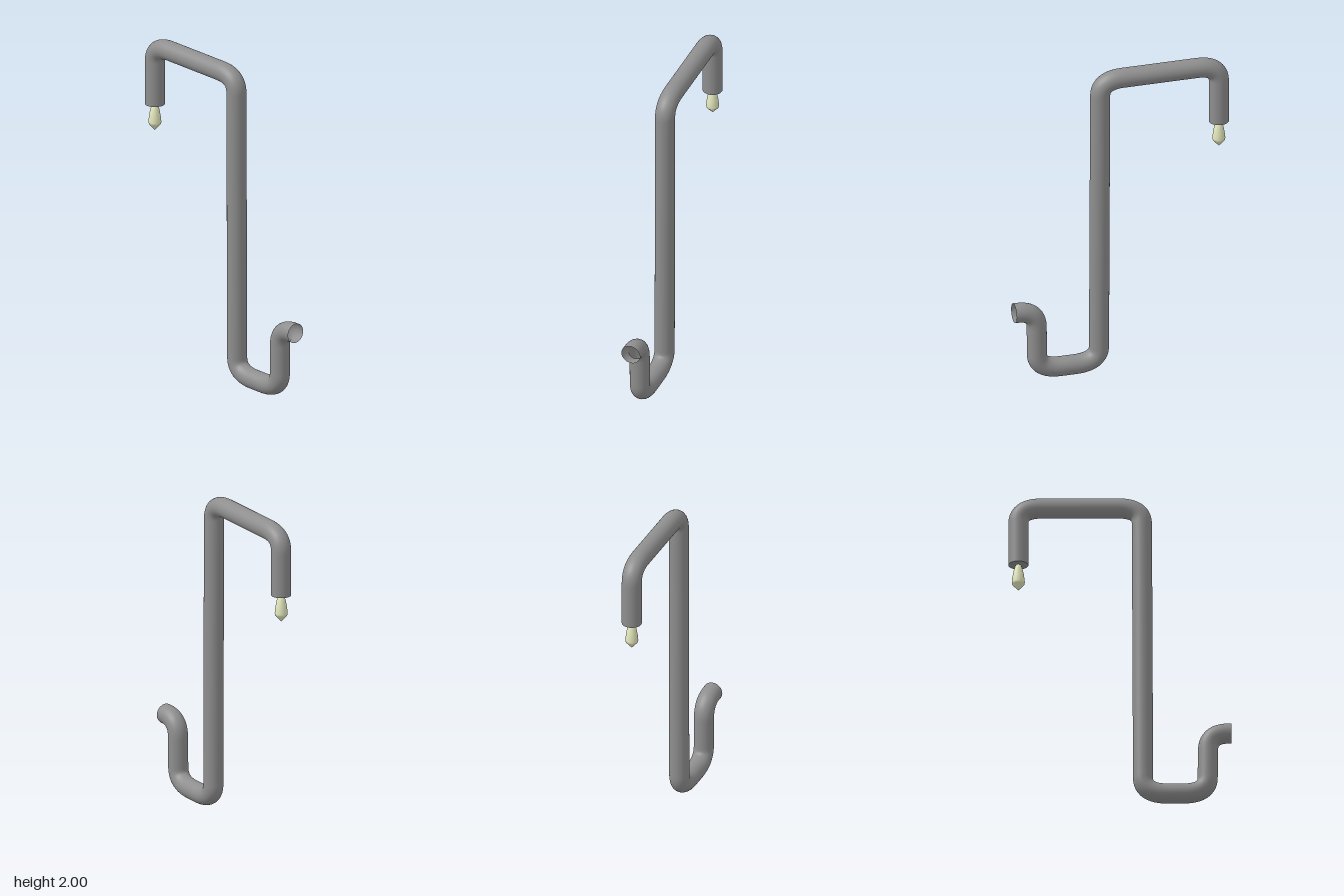
import * as THREE from 'three';

// Straight runs joined by rounded corners; each corner is [x, y, trim before, trim after]
function bentPath(start, corners, end) {
  const v = (p) => new THREE.Vector3(p[0], p[1], 0);
  const path = new THREE.CurvePath();
  let from = v(start);
  corners.forEach((c, i) => {
    const corner = v(c);
    const next = v(corners[i + 1] ?? end);
    const a = corner.clone().add(from.clone().sub(corner).setLength(c[2]));
    const b = corner.clone().add(next.sub(corner).setLength(c[3]));
    path.add(new THREE.LineCurve3(from, a));
    path.add(new THREE.QuadraticBezierCurve3(a, corner, b));
    from = b;
  });
  path.add(new THREE.LineCurve3(from, v(end)));
  return path;
}

export function createModel() {
  const model = new THREE.Group();
  const outlet = new THREE.Vector3(-0.608, 1.567, 0);
  const metal = new THREE.MeshStandardMaterial({ color: 0x8e8e8e, side: THREE.DoubleSide });

  // Bent pipe, open at the inlet
  const path = bentPath([outlet.x, outlet.y], [
    [-0.608, 1.94, 0.1, 0.14],
    [0.129, 1.94, 0.14, 0.1],
    [0.137, 0.062, 0.1, 0.15],
    [0.521, 0.062, 0.15, 0.1],
    [0.525, 0.456, 0.11, 0.12],
  ], [0.665, 0.457]);
  path.arcLengthDivisions = 1000;
  const pipe = new THREE.Mesh(new THREE.TubeGeometry(path, 240, 0.06, 32, false), metal);
  pipe.name = 'pipe';
  model.add(pipe);

  // Disc closing the outlet, facing down
  const cap = new THREE.Mesh(new THREE.CircleGeometry(0.06, 32), metal);
  cap.rotation.x = Math.PI / 2;
  cap.position.copy(outlet);
  cap.name = 'outletCap';
  model.add(cap);

  // Drop hanging from the outlet, listed from bottom to top
  const profile = [
    [0, 1.4], [0.036, 1.44], [0.039, 1.453], [0.035, 1.49],
    [0.028, 1.53], [0.019, 1.56], [0.01, 1.573], [0, 1.578],
  ].map(([r, y]) => new THREE.Vector2(r, y));
  const drop = new THREE.Mesh(
    new THREE.LatheGeometry(profile, 24),
    new THREE.MeshStandardMaterial({ color: 0xe4e8bc })
  );
  drop.position.x = outlet.x;
  drop.name = 'drop';
  model.add(drop);

  return model;
}
